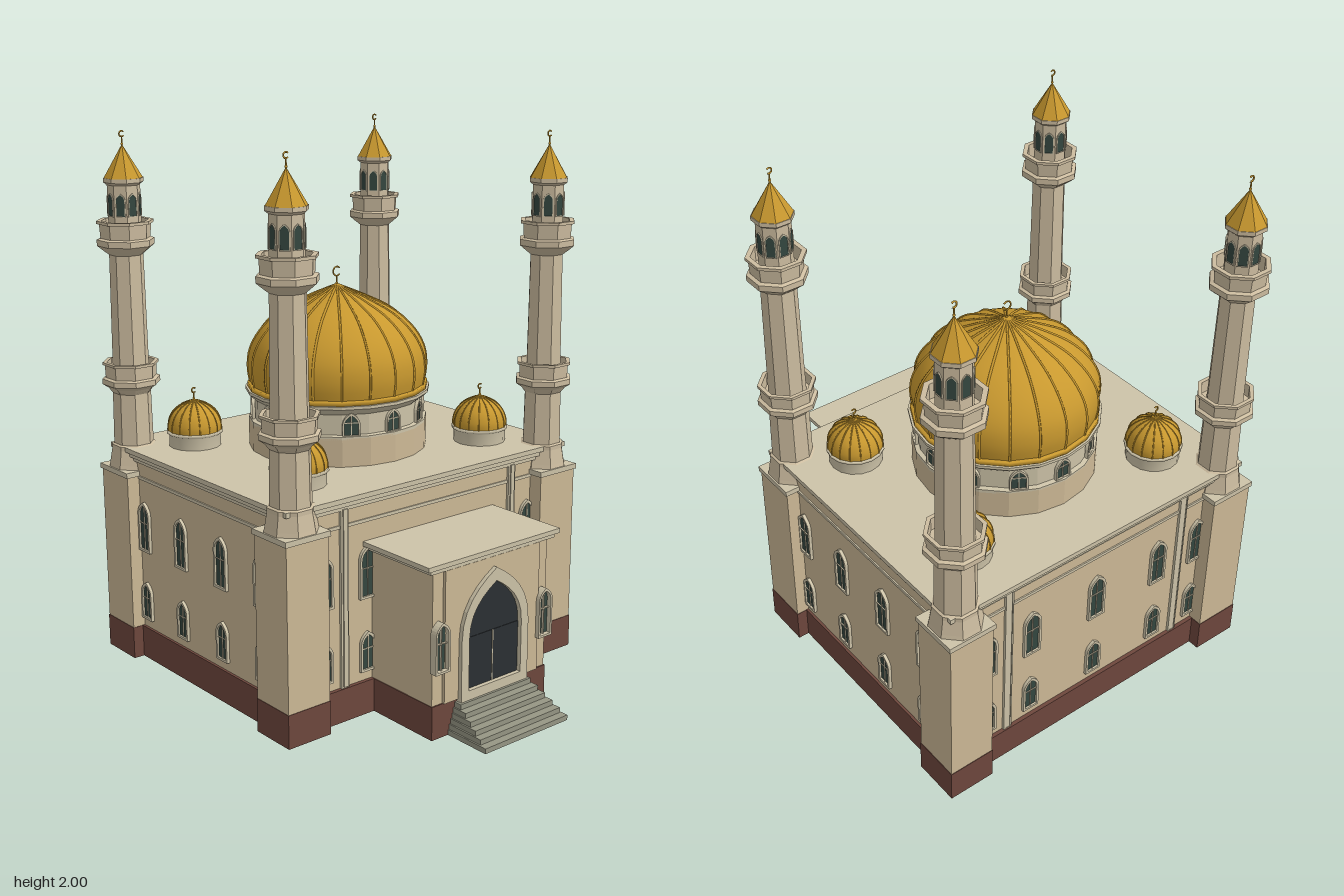
import * as THREE from 'three';

const mat = (color, opts = {}) => new THREE.MeshStandardMaterial({ color, ...opts });
const WALL = mat(0xcdb996), TRIM = mat(0xcdc3a8), BROWN = mat(0x6e473d), GOLD = mat(0xc9992f);
const GLASS = mat(0x34463f, { side: THREE.DoubleSide }), DOOR = mat(0x2b3033), STEP = mat(0x969684);
const STONE = mat(0xcdbda0, { flatShading: true }), SPIRE = mat(0xc9992f, { flatShading: true });
const CZ = -0.2225; // centre of the main hall in z

function add(parent, name, geo, material, x = 0, y = 0, z = 0) {
  const m = new THREE.Mesh(geo, material);
  m.name = name;
  m.position.set(x, y, z);
  parent.add(m);
  return m;
}

// Box given by its extents
function box(parent, name, material, x0, x1, y0, y1, z0, z1) {
  return add(parent, name, new THREE.BoxGeometry(x1 - x0, y1 - y0, z1 - z0), material,
    (x0 + x1) / 2, (y0 + y1) / 2, (z0 + z1) / 2);
}

function lathe(parent, name, material, pts, seg, phi = 0) {
  return add(parent, name, new THREE.LatheGeometry(pts.map(([r, y]) => new THREE.Vector2(r, y)), seg, phi), material);
}

// Pointed arch outline, half width w, from y0 up to y1
function arch(w, y0, y1, Type = THREE.Shape) {
  const s = new Type(), spring = y1 - Math.min(w * 1.45, (y1 - y0) * 0.6), rise = y1 - spring;
  s.moveTo(-w, y0);
  s.lineTo(w, y0);
  s.lineTo(w, spring);
  s.bezierCurveTo(w, spring + rise * 0.5, w * 0.55, spring + rise * 0.78, 0, y1);
  s.bezierCurveTo(-w * 0.55, spring + rise * 0.78, -w, spring + rise * 0.5, -w, spring);
  s.closePath();
  return s;
}

// Arched opening facing +z: frame, pane and glazing bars, standing on y = 0
function archWindow(w, h, t, depth, bars = true, pane = GLASS) {
  const g = new THREE.Group();
  g.name = 'archedWindow';
  const frame = arch(w, 0, h);
  frame.holes.push(arch(w - t, t, h - t * 1.4, THREE.Path));
  add(g, 'windowFrame', new THREE.ExtrudeGeometry(frame, { depth, bevelEnabled: false, curveSegments: 6 }), TRIM);
  add(g, 'windowPane', new THREE.ShapeGeometry(arch(w - t, t, h - t * 1.4), 6), pane, 0, 0, depth * 0.4);
  if (bars) {
    box(g, 'glazingBar', TRIM, -0.0018, 0.0018, t, h - t * 1.5, 0, depth * 0.7);
    box(g, 'glazingBar', TRIM, -w + t, w - t, h * 0.56, h * 0.56 + 0.0036, 0, depth * 0.7);
  }
  return g;
}

function place(parent, obj, x, y, z, ry = 0) {
  obj.position.set(x, y, z);
  obj.rotation.y = ry;
  parent.add(obj);
}

// Upper and lower window of one wall bay
function bay(parent, x, z, ry) {
  place(parent, archWindow(0.037, 0.195, 0.009, 0.012), x, 0.435, z, ry);
  place(parent, archWindow(0.034, 0.15, 0.009, 0.012), x, 0.16, z, ry);
}

// Rod with a ball and an open crescent on top
function finial(parent, y0, y1, r) {
  const g = new THREE.Group();
  g.name = 'finial';
  const rod = y1 - 2 * r - y0 + 0.02;
  add(g, 'finialRod', new THREE.CylinderGeometry(0.0025, 0.004, rod, 6), GOLD, 0, y0 - 0.02 + rod / 2, 0);
  add(g, 'finialBall', new THREE.SphereGeometry(0.005, 8, 6), GOLD, 0, y0 + 0.006, 0);
  const c = add(g, 'crescent', new THREE.TorusGeometry(r - 0.003, 0.003, 6, 18, Math.PI * 1.55), GOLD, 0, y1 - r, 0);
  c.rotation.z = Math.PI * 0.225;
  parent.add(g);
}

// Ribbed dome from a profile of [radius, y]
function ribbedDome(parent, pts, count, ribR) {
  const curve = new THREE.SplineCurve(pts.map(([r, y]) => new THREE.Vector2(r, y)));
  const prof = curve.getPoints(24).map(p => [Math.max(p.x, 0), p.y]);
  lathe(parent, 'domeShell', GOLD, prof, count);
  const path = new THREE.CatmullRomCurve3(prof.map(([r, y]) => new THREE.Vector3(0, y, r)));
  const rib = new THREE.TubeGeometry(path, 24, ribR, 5);
  for (let i = 0; i < count; i++) add(parent, 'domeRib', rib, GOLD).rotation.y = (i / count) * Math.PI * 2;
}

function minaret() {
  const g = new THREE.Group();
  g.name = 'minaret';
  const k = 1 / Math.cos(Math.PI / 8);
  const oct = (name, m, pts) => lathe(g, name, m, pts.map(([r, y]) => [r * k, y]), 8, Math.PI / 8);
  oct('minaretShaft', STONE, [[0.09, 0.74], [0.086, 0.76], [0.077, 0.815], [0.077, 0.83], [0.069, 0.835],
    [0.066, 1.035], [0.075, 1.04]]);
  // Balconies with parapets
  oct('lowerBalcony', STONE, [[0.066, 1.03], [0.08, 1.05], [0.1, 1.065], [0.1, 1.085], [0.088, 1.09], [0.09, 1.138],
    [0.097, 1.138], [0.097, 1.148], [0.083, 1.148], [0.083, 1.1], [0.063, 1.1]]);
  oct('upperShaft', STONE, [[0.063, 1.09], [0.058, 1.57]]);
  oct('upperBalcony', STONE, [[0.058, 1.55], [0.078, 1.567], [0.098, 1.585], [0.098, 1.607], [0.085, 1.612],
    [0.088, 1.665], [0.097, 1.665], [0.097, 1.676], [0.08, 1.676], [0.08, 1.62], [0.056, 1.62]]);
  oct('lantern', STONE, [[0.056, 1.61], [0.056, 1.805], [0.068, 1.815], [0.068, 1.83], [0, 1.83]]);
  for (let i = 0; i < 8; i++) {
    const a = (i * Math.PI) / 4;
    place(g, archWindow(0.018, 0.085, 0.003, 0.004, false), Math.sin(a) * 0.056, 1.692, Math.cos(a) * 0.056, a);
  }
  oct('spire', SPIRE, [[0.067, 1.828], [0.045, 1.868], [0.022, 1.91], [0, 1.95]]);
  finial(g, 1.945, 2, 0.013);
  return g;
}

export function createModel() {
  const root = new THREE.Group();
  root.name = 'domedHall';

  // Main hall with plinth, frieze and stepped cornice
  const hall = (name, m, hx, hz, y0, y1) => box(root, name, m, -hx, hx, y0, y1, CZ - hz, CZ + hz);
  hall('hallPlinth', BROWN, 0.645, 0.54, 0, 0.125);
  hall('hallWalls', WALL, 0.635, 0.525, 0.125, 0.79);
  hall('frieze', TRIM, 0.64, 0.53, 0.715, 0.727);
  hall('cornice', TRIM, 0.643, 0.535, 0.78, 0.795);
  hall('cornice', TRIM, 0.652, 0.544, 0.795, 0.812);
  hall('roofSlab', TRIM, 0.662, 0.5525, 0.812, 0.83);

  // Windows and pilasters
  const front = CZ + 0.525, back = CZ - 0.525;
  for (const x of [-0.487, -0.295, 0, 0.295, 0.487]) {
    if (x) bay(root, x, front, 0);
    bay(root, x, back, Math.PI);
  }
  for (const s of [-1, 1]) {
    for (const z of [0.15, -0.09, -0.345, -0.59]) bay(root, s * 0.635, z, (s * Math.PI) / 2);
    for (const [z, d] of [[front, 1], [back, -1]]) {
      box(root, 'pilaster', TRIM, s * 0.4 - 0.017, s * 0.4 + 0.017, 0.125, 0.785, z - 0.01, z + 0.01);
      box(root, 'pilasterFace', TRIM, s * 0.4 - 0.009, s * 0.4 + 0.009, 0.13, 0.785, z - 0.01, z + d * 0.014 + 0.001);
    }
  }

  // Corner piers and minarets
  for (const sx of [-1, 1]) for (const z of [0.27, -0.715]) {
    const pier = (name, m, h, y0, y1) => box(root, name, m, sx * 0.596 - h, sx * 0.596 + h, y0, y1, z - h, z + h);
    pier('pierPlinth', BROWN, 0.091, 0, 0.125);
    pier('pier', WALL, 0.089, 0.125, 0.725);
    pier('pierCap', TRIM, 0.095, 0.725, 0.745);
    place(root, minaret(), sx * 0.596, 0, z);
  }

  // Entrance porch
  box(root, 'porchPlinth', BROWN, -0.275, 0.275, 0, 0.125, 0.2, 0.625);
  box(root, 'porchWalls', WALL, -0.272, 0.272, 0.125, 0.62, 0.2, 0.62);
  box(root, 'porchCornice', TRIM, -0.295, 0.295, 0.612, 0.628, 0.25, 0.635);
  box(root, 'porchRoof', TRIM, -0.312, 0.312, 0.628, 0.645, 0.25, 0.645);
  const panel = new THREE.Shape([[-0.225, 0.125], [0.225, 0.125], [0.225, 0.61], [-0.225, 0.61]]
    .map(p => new THREE.Vector2(...p)));
  panel.holes.push(arch(0.14, 0.126, 0.55, THREE.Path));
  add(root, 'portalPanel', new THREE.ExtrudeGeometry(panel, { depth: 0.012, bevelEnabled: false }), WALL, 0, 0, 0.62);
  const portal = archWindow(0.16, 0.46, 0.035, 0.03, false, DOOR);
  portal.name = 'portal';
  place(root, portal, 0, 0.115, 0.618);
  box(root, 'doorLeaves', DOOR, -0.124, 0.124, 0.115, 0.34, 0.61, 0.632);
  box(root, 'doorSeam', TRIM, -0.002, 0.002, 0.118, 0.34, 0.62, 0.634);
  for (const s of [-1, 1]) place(root, archWindow(0.033, 0.185, 0.008, 0.03), s * 0.247, 0.25, 0.619);

  // Steps narrowing upwards
  for (let i = 0; i < 6; i++) {
    const w = 0.2 - i * 0.006, h = 0.115 / 6;
    box(root, 'step', STEP, -w, w, i * h, (i + 1) * h, 0.6, 0.812 - i * 0.031);
  }

  // Central drum and dome
  const main = new THREE.Group();
  main.name = 'centralDome';
  place(root, main, 0, 0, CZ);
  lathe(main, 'drumBase', mat(0xcdb996, { flatShading: true }), [[0.335, 0.82], [0.335, 0.935], [0.31, 0.935]], 20);
  lathe(main, 'drum', mat(0xcdc3a8, { flatShading: true }), [[0.335, 0.93], [0.335, 0.942], [0.318, 0.945], [0.318, 1.02],
    [0.33, 1.03], [0.346, 1.045], [0.346, 1.056], [0.3, 1.056]], 20);
  for (let i = 0; i < 12; i++) {
    const a = (i * Math.PI) / 6;
    place(main, archWindow(0.033, 0.09, 0.007, 0.012), Math.sin(a) * 0.315, 0.938, Math.cos(a) * 0.315, a);
  }
  lathe(main, 'domeRing', GOLD, [[0.3, 1.05], [0.338, 1.055], [0.338, 1.072], [0.3, 1.075]], 20);
  ribbedDome(main, [[0.327, 1.07], [0.335, 1.13], [0.325, 1.2], [0.285, 1.27], [0.215, 1.335], [0.12, 1.385],
    [0.045, 1.418], [0, 1.437]], 20, 0.0045);
  finial(main, 1.435, 1.505, 0.02);

  // Four small corner domes
  for (const sx of [-1, 1]) for (const z of [0.1, -0.545]) {
    const g = new THREE.Group();
    g.name = 'smallDome';
    place(root, g, sx * 0.432, 0, z);
    lathe(g, 'smallDrum', TRIM, [[0.098, 0.82], [0.098, 0.875], [0.106, 0.88], [0.106, 0.89], [0.08, 0.89]], 16);
    ribbedDome(g, [[0.1, 0.885], [0.1, 0.915], [0.087, 0.95], [0.06, 0.978], [0.027, 0.995], [0, 1.004]], 16, 0.0025);
    finial(g, 1.002, 1.052, 0.012);
  }
  return root;
}
